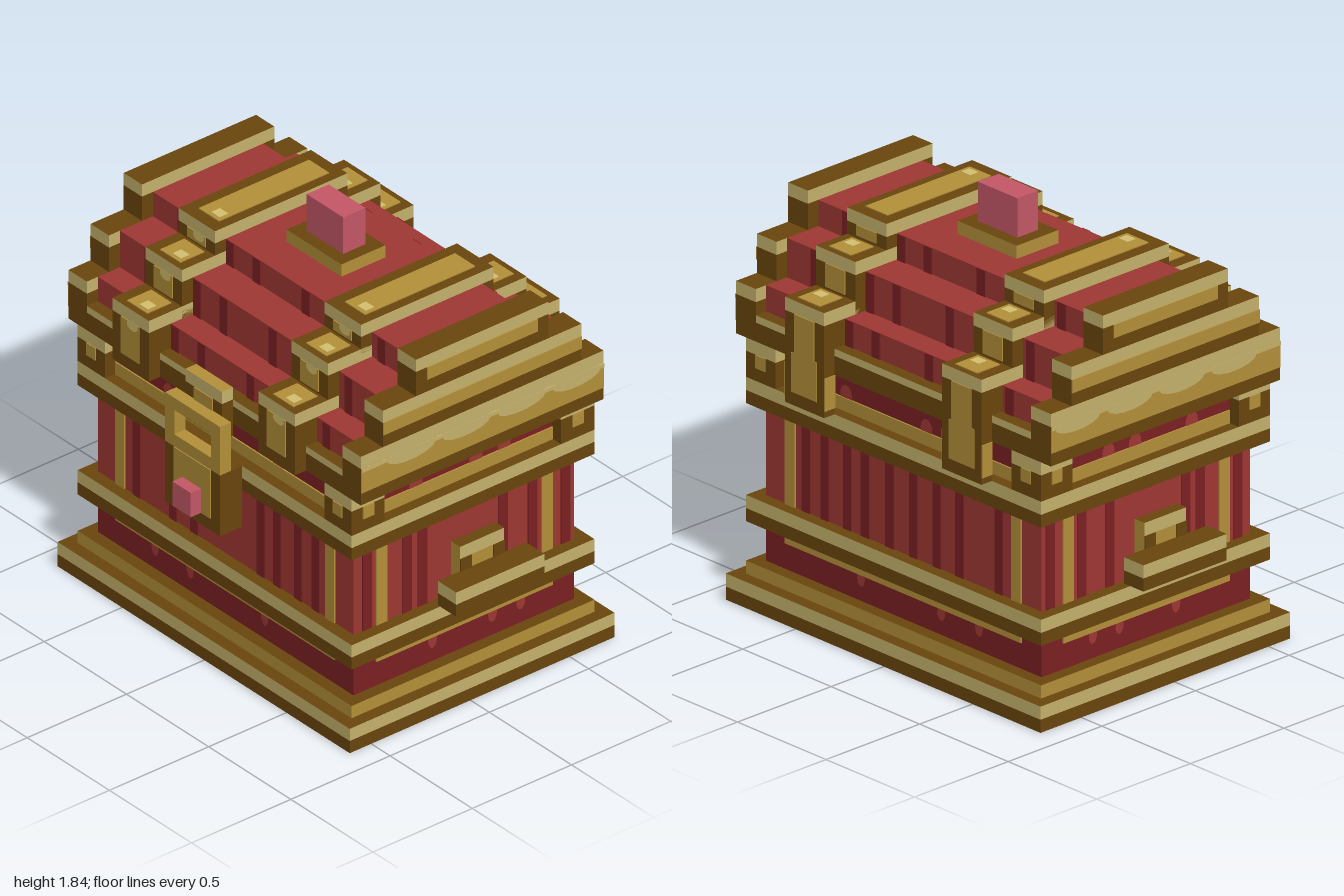
import * as THREE from 'three';

const M = (name, color) => {
  const m = new THREE.MeshStandardMaterial({ color });
  m.name = name;
  return m;
};

export function createModel() {
  const dark = M('darkBronze', 0x6b460d);
  const gold = M('gold', 0xb5913a);
  const light = M('paleGold', 0xc8b46e);
  const red = M('red', 0xa03834);
  const wine = M('darkRed', 0x7c2123);
  const pink = M('pink', 0xc65868);
  const shine = M('highlight', 0xd6c070);

  // Everything is laid out in blocks; one block is 1/18 of a unit.
  const model = new THREE.Group();
  model.name = 'treasureChest';
  model.scale.setScalar(1 / 18);
  const EPS = 0.08;

  const box = (name, mat, x0, x1, y0, y1, z0, z1) => {
    const mesh = new THREE.Mesh(new THREE.BoxGeometry(x1 - x0, y1 - y0, z1 - z0), mat);
    mesh.position.set((x0 + x1) / 2, (y0 + y1) / 2, (z0 + z1) / 2);
    mesh.name = name;
    model.add(mesh);
    return mesh;
  };
  // Sides in one colour, top and bottom dark
  const capped = (side) => [side, side, dark, dark, side, side];
  // Metal bar: dark below, pale rim of one block at the top
  const bar = (name, x0, x1, y0, y1, z0, z1, rim = 1) => {
    box(name, dark, x0, x1, y0, y1 - rim, z0, z1);
    box(name + 'Rim', capped(light), x0, x1, y1 - rim, y1, z0, z1);
  };
  // Thin painted rectangle on a wall; a is x on front/back and z on left/right
  const paint = (name, mat, side, at, a0, a1, y0, y1, lift = EPS) => {
    if (side === 'front') box(name, mat, a0, a1, y0, y1, at, at + lift);
    else if (side === 'back') box(name, mat, a0, a1, y0, y1, at - lift, at);
    else if (side === 'left') box(name, mat, at, at + lift, y0, y1, a0, a1);
    else box(name, mat, at - lift, at, y0, y1, a0, a1);
  };
  // Thin painted oval on a wall
  const TURN = { front: 0, back: Math.PI, left: Math.PI / 2, right: -Math.PI / 2 };
  const oval = (name, mat, side, at, a, y, ra, ry) => {
    const mesh = new THREE.Mesh(new THREE.CircleGeometry(1, 14), mat);
    mesh.name = name;
    mesh.scale.set(ra, ry, 1);
    mesh.rotation.y = TURN[side];
    if (side === 'front' || side === 'back') mesh.position.set(a, y, at);
    else mesh.position.set(at, y, a);
    model.add(mesh);
  };

  // Base plinth
  bar('base', -16, 16, 0, 2, -13, 11);
  box('plinth', capped(gold), -15, 15, 2, 3, -12, 10);
  for (let i = 0; i < 5; i++) {
    const spot = new THREE.Mesh(new THREE.CircleGeometry(0.6, 12), gold);
    spot.name = 'baseSpot';
    spot.rotation.x = Math.PI / 2;
    spot.position.set(14.4 - i * 6.5, -0.05, -1.4 + i * 0.45);
    model.add(spot);
  }

  // Body: dark lower and upper walls, red middle wall
  box('lowerBody', wine, -14, 14, 3, 7, -11, 9);
  box('body', red, -14, 14, 7, 16, -11, 9);
  box('upperBody', wine, -14, 14, 16, 20, -11, 9);
  bar('lowerBand', -15, 15, 6, 8, -12, 10);
  bar('upperBand', -15, 15, 15, 17, -12, 10);

  // Wall decoration: gold strips, plank grain and rounded marks
  const frontGrain = [-9.7, -5.7, -3.4, 3.9, 5.7, 8, 9.9];
  const sideGrain = [7.8, 4.2, 2.8, -4.5, -7.2, -10.2];
  const walls = [
    ['front', 9, -12, 12, frontGrain], ['back', -11, -12, 12, [...frontGrain, -1, 1.4]],
    ['left', 14, -9, 7, sideGrain], ['right', -14, -9, 7, sideGrain],
  ];
  for (const [side, at, a0, a1, grain] of walls) {
    const face = at + (side === 'front' || side === 'left' ? 0.05 : -0.05);
    for (const a of grain) paint('plankGrain', wine, side, at, a - 0.42, a + 0.42, 8, 15);
    paint('goldUprightA', gold, side, at, a0, a0 + 1, 8, 15, 0.12);
    paint('goldUprightB', gold, side, at, a1 - 1, a1, 8, 15, 0.12);
    paint('goldLineLow', gold, side, at, a0, a1, 5, 6, 0.12);
    paint('goldLineHigh', gold, side, at, a0, a1, 17, 18, 0.12);
    for (const t of [0.18, 0.34, 0.68]) {
      const a = a0 + (a1 - a0) * t;
      oval('lowerMark', red, side, face, a, 4.8, 0.4, 0.7);
      oval('upperMark', red, side, face, a + 1.5, 18.2, 0.6, 0.8);
    }
  }

  // Corner blocks under the lid
  for (const [x0, x1] of [[-15, -12], [12, 15]])
    for (const [z0, z1] of [[-12, -9], [7, 10]]) {
      bar('cornerBlock', x0, x1, 17, 20, z0, z1);
      const xo = x0 < 0 ? ['right', -15] : ['left', 15];
      const zo = z0 < 0 ? ['back', -12] : ['front', 10];
      paint('cornerShine', gold, ...xo, z0 + 1, z1 - 1, 18, 19);
      paint('cornerShine', gold, ...zo, x0 + 1, x1 - 1, 18, 19);
    }

  // Stepped red lid
  const lidSteps = [[20, 24, -11, 9], [24, 27, -9, 7], [27, 29, -6, 4]];
  const lidGrain = [-10.8, -5.5, -2.6, 2.8, 5.5, 11.1];
  for (const [y0, y1, z0, z1] of lidSteps) {
    box('lidStep', red, -14, 14, y0, y1, z0, z1);
    for (const a of lidGrain) {
      paint('lidGrain', wine, 'front', z1, a - 0.42, a + 0.42, y0, y1);
      paint('lidGrain', wine, 'back', z0, a - 0.42, a + 0.42, y0, y1);
    }
  }
  bar('lidRimFront', -14, 14, 20, 22, 9, 10, 0.55);
  bar('lidRimBack', -14, 14, 20, 22, -12, -11, 0.55);

  // Stepped end frames on both sides of the lid
  const endSteps = [[20, 24, -12, 10], [24, 27, -10, 8], [27, 30, -7, 5]];
  for (const s of [-1, 1]) {
    const side = s > 0 ? 'left' : 'right';
    const [x0, x1] = s > 0 ? [14, 16] : [-16, -14];
    endSteps.forEach(([y0, y1, z0, z1], i) => {
      bar('endFrame', x0, x1, y0, y1, z0, z1);
      const inset = i === 2 ? 1 : 0;
      paint('endFrameGold', gold, side, 16 * s, z0 + inset, z1 - inset, y0 + 1, y1 - 1);
    });
    for (const z of [-9.5, -4.5, 0.5, 5.5])
      oval('endScallop', light, side, 16.1 * s, z, 22.75, 2.2, 0.7);
    paint('endScallopTop', light, side, 16 * s, -12, 10, 22.7, 23, 0.12);
  }

  // Two stepped straps over the lid, with hinges down the back
  const strapSteps = [[20, 25, -13, 11], [24, 28, -10, 8], [27, 30, -7, 5]];
  for (const [x0, x1] of [[-10, -6], [6, 10]]) {
    strapSteps.forEach(([y0, y1, z0, z1], i) => {
      bar('strap', x0, x1, y0, y1, z0, z1);
      const low = i === 0 ? y0 + 1 : y0 + 1.2;
      paint('strapGold', gold, 'front', z1, x0 + 1, x1 - 1, low, y1 - 1);
      paint('strapGold', gold, 'back', z0, x0 + 1, x1 - 1, low, y1 - 1);
      oval('strapShine', shine, 'front', z1 + 0.1, x0 + 2.3, y1 - 1.2, 0.6, 0.4);
      // Gold inlay on the top faces
      const tops = i === 2 ? [[z0 + 1, z1 - 1]] : [[z0 + 0.5, z0 + 2.7], [z1 - 2.7, z1 - 0.5]];
      for (const [t0, t1] of tops) {
        box('strapInlay', gold, x0 + 1, x0 + 3.2, y1, y1 + EPS, t0, t1);
        box('strapInlayShine', shine, x0 + 2, x0 + 2.9, y1 + EPS, y1 + 0.12, t1 - 1.1, t1 - 0.3);
      }
    });
    box('hinge', dark, x0, x1, 17, 20, -13, -12);
    paint('hingeGold', gold, 'back', -13, x0 + 0.7, x1 - 0.7, 18, 21, 0.06);
    paint('hingeSide', gold, 'left', x1, -13, -12, 17.5, 20);
    paint('hingeSide', gold, 'right', x0, -13, -12, 17.5, 20);
  }

  // Lock: lower plate, open ring above and a clasp on the lid
  box('lockPlate', dark, -3, 3, 12, 17, 10, 12);
  paint('lockFace', gold, 'front', 12, -2, 2, 13, 17);
  const ring = new THREE.Shape();
  ring.moveTo(-3, 17).lineTo(3, 17).lineTo(3, 21).lineTo(-3, 21).closePath();
  const hole = new THREE.Path();
  hole.moveTo(-2, 18).lineTo(-2, 20).lineTo(2, 20).lineTo(2, 18).closePath();
  ring.holes.push(hole);
  const ringMesh = new THREE.Mesh(new THREE.ExtrudeGeometry(ring, { depth: 1, bevelEnabled: false }), [gold, gold]);
  ringMesh.name = 'lockRing';
  ringMesh.position.z = 11;
  model.add(ringMesh);
  box('clasp', dark, -2, 2, 19, 22, 10, 11);
  box('claspTop', [light, light, gold, dark, light, light], -2, 2, 22, 23, 10, 11);
  paint('claspShine', gold, 'front', 11, -1, 1, 21, 22);
  box('lockKnob', pink, -1, 1, 13, 15, 12, 13);

  // Jewel on the lid
  box('jewelPlate', capped(gold), -3, 3, 29, 30, -3, 1);
  box('jewel', pink, -2, 2, 30, 33, -2, 0);

  // Side handles
  for (const s of [-1, 1]) {
    const [g0, g1] = s > 0 ? [16, 18] : [-18, -16];
    const [p0, p1] = s > 0 ? [15, 16] : [-16, -15];
    bar('handleGrip', g0, g1, 9, 11, -5, 3);
    box('handlePost', gold, p0, p1, 10, 12, -3, 1);
    box('handlePostTop', [light, light, dark, dark, gold, gold], p0, p1, 12, 13, -3, 1);
    const side = s > 0 ? 'left' : 'right';
    paint('handleShade', dark, side, 16 * s, -3, -2, 11, 12);
    paint('handleShade', dark, side, 16 * s, 0, 1, 11, 12);
  }
  return model;
}
